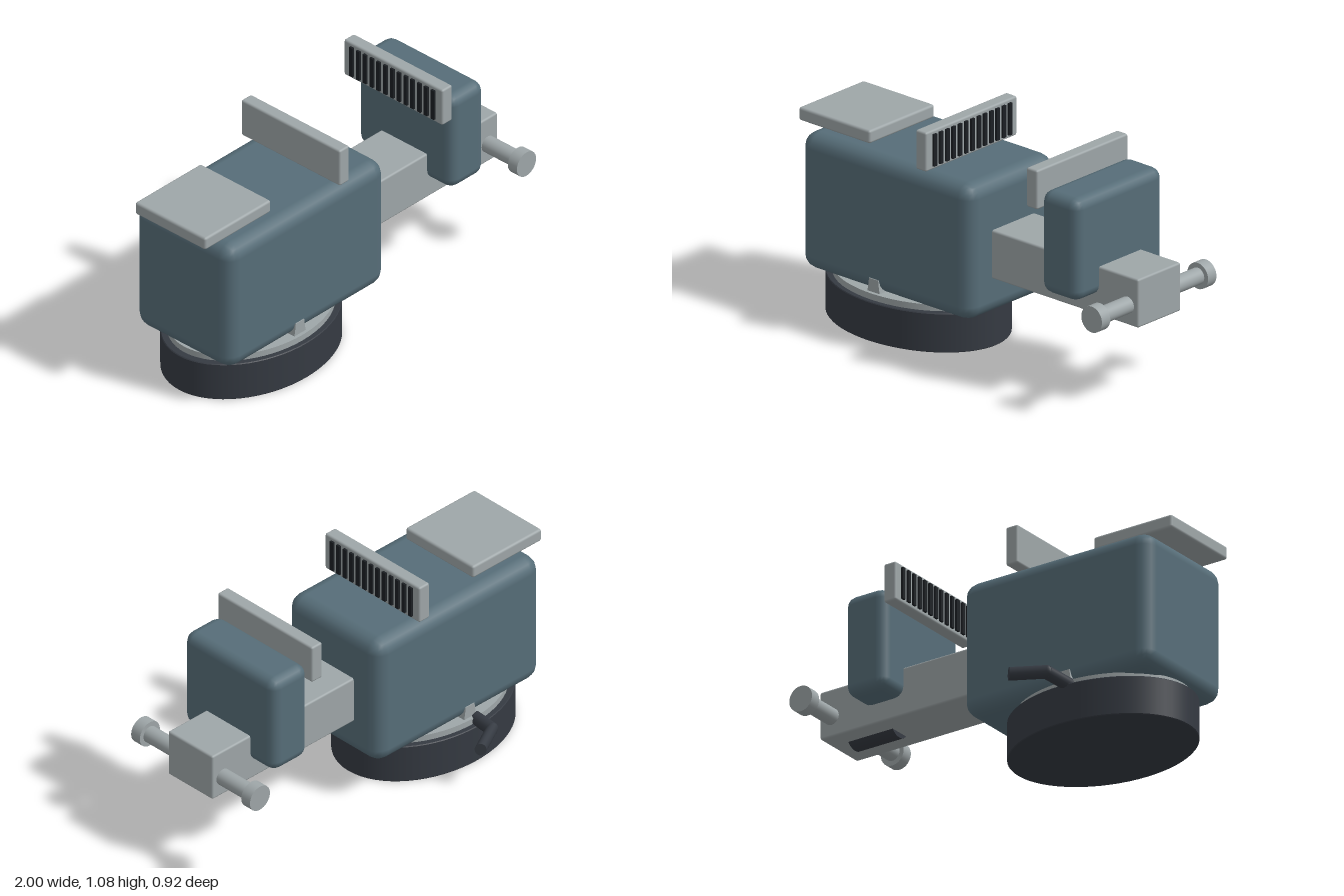
import * as THREE from 'three';
import { RoundedBoxGeometry } from 'three/addons/geometries/RoundedBoxGeometry.js';

const material = (name, color) => {
  const m = new THREE.MeshStandardMaterial({ color });
  m.name = name;
  return m;
};

export function createModel() {
  const model = new THREE.Group();
  model.name = 'benchVise';
  const paint = material('slatePaint', 0x566d78);
  const steel = material('steel', 0x9ea6a8);
  const iron = material('darkIron', 0x353a42);
  const groove = material('blackGroove', 0x1b1f23);
  const midZ = 0.078; // centre plane of the vise

  const add = (parent, name, geometry, mat, x = 0, y = 0, z = 0) => {
    const mesh = new THREE.Mesh(geometry, mat);
    mesh.name = name;
    mesh.position.set(x, y, z);
    parent.add(mesh);
    return mesh;
  };
  // Rounded block given by its x and y limits and its depth
  const block = (name, x0, x1, y0, y1, depth, radius, mat, segments = 2) =>
    add(model, name, new RoundedBoxGeometry(x1 - x0, y1 - y0, depth, segments, radius), mat,
      (x0 + x1) / 2, (y0 + y1) / 2, midZ);

  // Swivel base, oval in plan
  const base = new THREE.Group();
  base.name = 'swivelBase';
  base.position.set(-0.467, 0, midZ);
  base.scale.z = 0.731;
  model.add(base);
  const disc = [[0, 0], [0.468, 0], [0.472, 0.004], [0.472, 0.186], [0.468, 0.19], [0, 0.19]];
  disc.forEach((p, i) => {
    if (i === 0) return;
    const [r0, y0] = disc[i - 1], [r1, y1] = p;
    const pts = [new THREE.Vector2(r0, y0), new THREE.Vector2(r1, y1)];
    add(base, 'baseDisc', new THREE.LatheGeometry(pts, 64), iron);
  });
  add(base, 'swivelRing', new THREE.CylinderGeometry(0.437, 0.437, 0.04, 64), steel, 0, 0.2, 0);

  // Flared lock lug through the body, showing at front and back
  const lug = new THREE.Shape();
  lug.moveTo(-0.042, 0.2);
  lug.lineTo(0.042, 0.2);
  lug.quadraticCurveTo(0.032, 0.24, 0.028, 0.283);
  lug.lineTo(-0.028, 0.283);
  lug.quadraticCurveTo(-0.032, 0.24, -0.042, 0.2);
  add(base, 'lockLug',
    new THREE.ExtrudeGeometry(lug, { depth: 0.826, bevelEnabled: false, curveSegments: 6 }),
    steel, 0, 0, -0.413);

  // Bent lock lever at the back
  const lever = [[-0.035, 0.198, -0.41], [0, 0.223, -0.605], [0.15, 0.223, -0.715]]
    .map((p) => new THREE.Vector3(...p));
  for (let i = 0; i < 2; i++) {
    const dir = lever[i + 1].clone().sub(lever[i]);
    const rod = add(base, 'lockLever',
      new THREE.CylinderGeometry(0.032, 0.032, dir.length(), 16), iron);
    rod.position.copy(lever[i]).addScaledVector(dir, 0.5);
    rod.quaternion.setFromUnitVectors(new THREE.Vector3(0, 1, 0), dir.normalize());
  }
  add(base, 'leverBend', new THREE.SphereGeometry(0.032, 16, 10), iron).position.copy(lever[1]);

  // Body, sliding bar, moving jaw and anvil
  block('body', -0.925, 0.11, 0.215, 0.875, 0.596, 0.07, paint);
  block('slideBar', 0, 0.998, 0.395, 0.63, 0.287, 0.01, steel);
  block('movingJaw', 0.535, 0.76, 0.49, 0.985, 0.586, 0.05, paint);
  block('anvilPlate', -1, -0.567, 0.886, 0.95, 0.436, 0.012, steel);

  // Jaw plates with vertical grip grooves on the facing sides
  for (const [x0, x1, face] of [[-0.21, -0.145, -0.14], [0.464, 0.53, 0.459]]) {
    block('jawPlate', x0, x1, 0.89, 1.08, 0.61, 0.01, steel);
    for (let i = 0; i < 13; i++) {
      add(model, 'gripGroove', new THREE.BoxGeometry(0.012, 0.155, 0.021), groove,
        face, 0.985, midZ + (i - 6) * 0.042);
    }
  }

  // Screw showing under the sliding bar
  add(model, 'leadScrew', new THREE.CylinderGeometry(0.067, 0.067, 0.245, 32), iron,
    0.783, 0.437, midZ).rotation.z = Math.PI / 2;

  // Turning handle with an end cap on each side
  const handle = new THREE.Group();
  handle.name = 'handle';
  handle.position.set(0.933, 0.492, midZ);
  handle.rotation.x = Math.PI / 2;
  model.add(handle);
  add(handle, 'handleRod', new THREE.CylinderGeometry(0.04, 0.04, 0.72, 32), steel);
  for (const side of [-1, 1]) {
    add(handle, 'handleCap', new THREE.CylinderGeometry(0.063, 0.063, 0.056, 32), steel,
      0, side * 0.355, 0);
  }
  return model;
}
